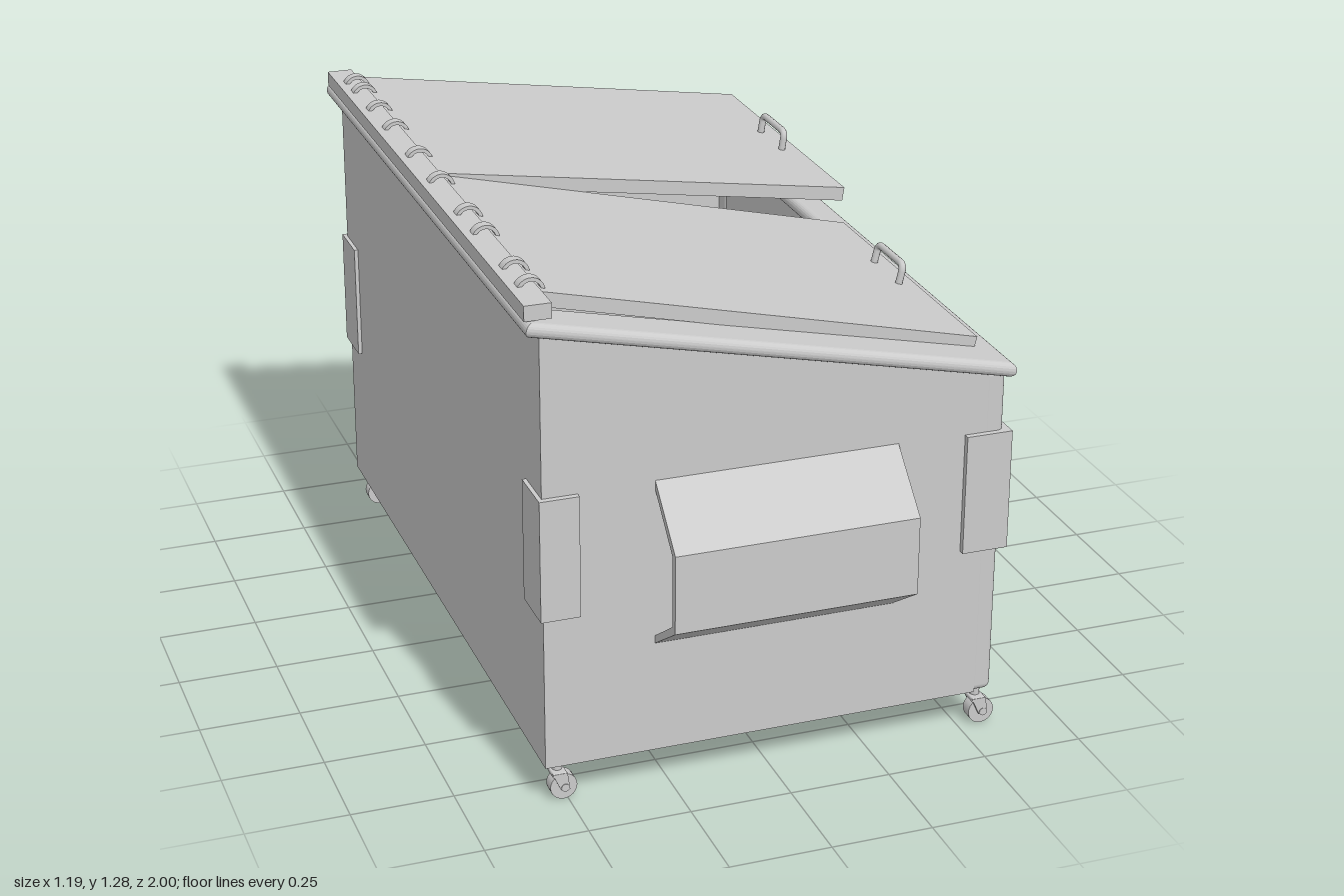
import * as THREE from 'three';
import { RoundedBoxGeometry } from 'three/addons/geometries/RoundedBoxGeometry.js';

const grey = new THREE.MeshStandardMaterial({ color: 0xcccccc });
const SLOPE = 0.2236;
const TILT = Math.atan(SLOPE);
const ZC = -0.01; // the bin sits slightly off centre in depth
const HALF = 0.875; // half depth of the bin
const rimY = (x) => 1.077 - SLOPE * x; // sloping mouth height

function add(parent, name, geometry, x = 0, y = 0, z = 0) {
  const mesh = new THREE.Mesh(geometry, grey);
  mesh.name = name;
  mesh.position.set(x, y, z);
  parent.add(mesh);
  return mesh;
}

// Box given by its min and max corners
function block(parent, name, [x0, y0, z0], [x1, y1, z1]) {
  const g = new THREE.BoxGeometry(x1 - x0, y1 - y0, z1 - z0);
  return add(parent, name, g, (x0 + x1) / 2, (y0 + y1) / 2, (z0 + z1) / 2);
}

function polygon(points) {
  return new THREE.Shape(points.map(([x, y]) => new THREE.Vector2(x, y)));
}

const extrude = (shape, depth) => new THREE.ExtrudeGeometry(shape, { depth, bevelEnabled: false, curveSegments: 16 });

function rectangle(x0, y0, x1, y1) {
  return polygon([[x0, y0], [x1, y0], [x1, y1], [x0, y1]]);
}

function buildBody(root) {
  const body = new THREE.Group();
  body.name = 'body';
  body.position.z = ZC;
  root.add(body);

  // Side walls with sloping tops
  const side = polygon([[-0.56, 0.1], [0.53, 0.1], [0.53, rimY(0.53)], [-0.56, rimY(-0.56)]]);
  for (const z of [-HALF, HALF - 0.02]) add(body, 'sideWall', extrude(side, 0.02), 0, 0, z);

  block(body, 'backWall', [-0.56, 0.1, -HALF], [-0.54, rimY(-0.56), HALF]);
  block(body, 'floor', [-0.56, 0.1, -HALF], [0.53, 0.12, HALF]);
  block(body, 'frontWall', [0.515, 0.1, -0.8], [0.535, rimY(0.53), 0.8]);
  block(body, 'frontSill', [0.53, 0.1, -0.8], [0.542, 0.195, 0.8]);

  // Stiffening beads across the front
  for (const y of [0.355, 0.655]) {
    const bead = new THREE.CylinderGeometry(0.014, 0.014, 1.6, 16).rotateX(Math.PI / 2);
    add(body, 'frontBead', bead, 0.535, y, 0);
  }

  // Front corner posts
  for (const s of [-1, 1]) {
    add(body, 'cornerPost', new RoundedBoxGeometry(0.06, 0.85, 0.075, 4, 0.018), 0.545, 0.525, s * (HALF - 0.0375));
  }

  // Rounded rim around the mouth
  const b = 0.0165;
  const hx = 0.607 - b, hz = 0.895 - b;
  const outline = rectangle(-hx, -hz, hx, hz);
  outline.holes.push(rectangle(-0.54, -0.79, 0.525, 0.79));
  const rim = new THREE.ExtrudeGeometry(outline, {
    depth: 0.002, bevelThickness: b, bevelSize: b, bevelSegments: 5,
  }).translate(0, 0, -0.001).rotateX(-Math.PI / 2);
  add(body, 'rim', rim, -0.002, rimY(0), 0).rotation.z = -TILT;

  // Hinge bar along the high edge
  block(body, 'hingeBar', [-0.594, 1.225, -0.877], [-0.53, 1.262, 0.877]);

  // Wrap-around corner plates
  for (const s of [-1, 1]) {
    for (const [x0, x1, inner] of [[-0.57, -0.475, -0.555], [0.475, 0.59, 0.57]]) {
      const zs = [s * (HALF - 0.005), s * (HALF + 0.015)].sort((a, c) => a - c);
      block(body, 'cornerPlateSide', [x0, 0.49, zs[0]], [x1, 0.793, zs[1]]);
      const zr = [s * (HALF - 0.115), s * (HALF + 0.015)].sort((a, c) => a - c);
      const end = inner < 0 ? [x0, inner] : [inner, x1];
      block(body, 'cornerPlateEnd', [end[0], 0.49, zr[0]], [end[1], 0.793, zr[1]]);
    }
  }
}

// Folded sheet sleeves for the lifting forks, open at both ends
function buildForkSleeve(root, s) {
  const wall = s * (HALF - 0.003) + ZC, out = s, t = s * 0.018;
  const profile = polygon([
    [wall, 0.8], [out, 0.668], [out, 0.472], [wall, 0.38],
    [wall, 0.4], [out - t, 0.483], [out - t, 0.658], [wall, 0.777],
  ]);
  add(root, 'forkSleeve', extrude(profile, 0.597).rotateY(-Math.PI / 2), 0.306, 0, 0);
}

// Lid panel pivoting at the hinge bar, with a grab handle
function buildLid(root, name, z0, z1, slope, pivotY, handleZ) {
  const lid = new THREE.Group();
  lid.name = name;
  lid.position.set(-0.53, pivotY, 0);
  lid.rotation.z = -Math.atan(slope);
  root.add(lid);
  const length = 1.065 * Math.hypot(1, slope);
  block(lid, 'lidPanel', [0, -0.035, z0], [length, 0, z1]);

  const path = new THREE.CurvePath();
  const p = [[-0.005, -0.075], [0.03, -0.075], [0.047, -0.055], [0.047, 0.055], [0.03, 0.075], [-0.005, 0.075]]
    .map(([y, z]) => new THREE.Vector3(0, y, z));
  const cornerA = new THREE.Vector3(0, 0.047, -0.075), cornerB = new THREE.Vector3(0, 0.047, 0.075);
  path.add(new THREE.LineCurve3(p[0], p[1]));
  path.add(new THREE.QuadraticBezierCurve3(p[1], cornerA, p[2]));
  path.add(new THREE.LineCurve3(p[2], p[3]));
  path.add(new THREE.QuadraticBezierCurve3(p[3], cornerB, p[4]));
  path.add(new THREE.LineCurve3(p[4], p[5]));
  add(lid, 'lidHandle', new THREE.TubeGeometry(path, 48, 0.009, 10), length - 0.05, 0, handleZ);
}

// Half-ring straps holding the lids to the bar
function buildHinges(root) {
  const strap = new THREE.Shape();
  strap.absarc(0, 0, 0.034, 0, Math.PI, false);
  strap.absarc(0, 0, 0.025, Math.PI, 0, true);
  const geometry = extrude(strap, 0.026).translate(0, 0, -0.013);
  for (const z of [-0.78, -0.7, -0.545, -0.385, -0.165, 0.03, 0.265, 0.4, 0.63, 0.745]) {
    add(root, 'hingeStrap', geometry, -0.544, 1.247, z);
  }
}

function buildCaster(root, x, z) {
  const caster = new THREE.Group();
  caster.name = 'caster';
  caster.position.set(x, 0, z);
  root.add(caster);
  add(caster, 'casterStem', new THREE.CylinderGeometry(0.012, 0.012, 0.04, 16), 0, 0.085, 0);
  add(caster, 'forkCrown', new RoundedBoxGeometry(0.036, 0.012, 0.056, 2, 0.004), 0, 0.07, 0);
  const wheel = new THREE.CylinderGeometry(0.033, 0.033, 0.032, 24).rotateX(Math.PI / 2);
  add(caster, 'wheel', wheel, 0.012, 0.033, 0);
  const axle = new THREE.CylinderGeometry(0.01, 0.01, 0.06, 12).rotateX(Math.PI / 2);
  add(caster, 'axle', axle, 0.012, 0.036, 0);
  const arm = polygon([[-0.018, 0.074], [0.018, 0.074], [0.024, 0.03], [0.002, 0.03]]);
  for (const dz of [-0.028, 0.02]) add(caster, 'forkArm', extrude(arm, 0.008), 0, 0, dz);
}

export function createModel() {
  const model = new THREE.Group();
  model.name = 'wheeledWasteContainer';
  buildBody(model);
  for (const s of [-1, 1]) {
    buildForkSleeve(model, s);
    for (const x of [-0.522, 0.548]) buildCaster(model, x, ZC + s * 0.84);
  }
  buildLid(model, 'closedLid', -0.02, 0.782, 0.24, 1.256, 0.363);
  buildLid(model, 'raisedLid', -0.828, -0.022, 0.155, 1.26, -0.405);
  buildHinges(model);
  return model;
}
